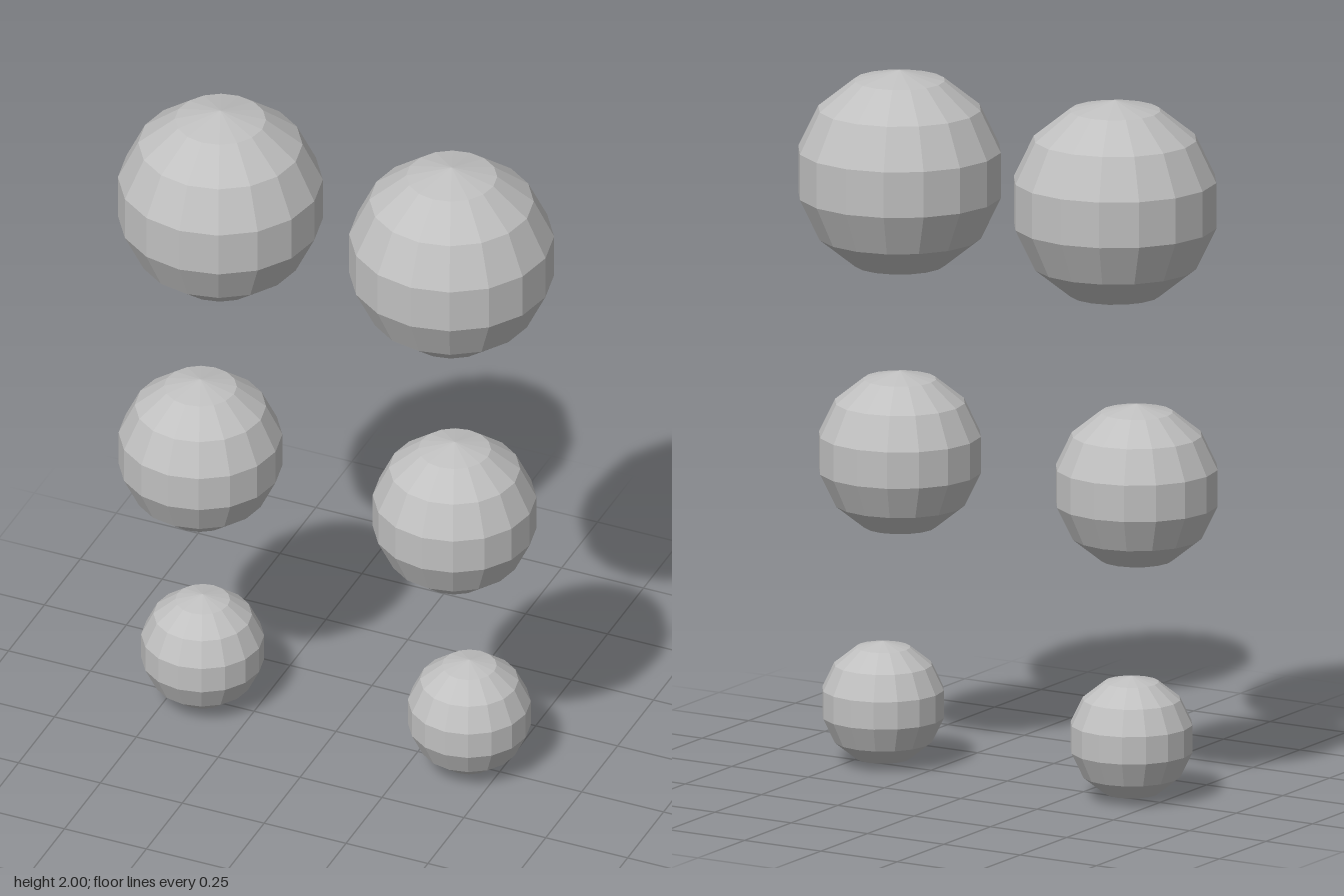
import * as THREE from 'three';

export function createModel() {
  const model = new THREE.Group();
  model.name = 'spherePairs';

  const grey = new THREE.MeshStandardMaterial({ color: 0xc0c0c0 });
  grey.name = 'light grey';

  // Three mirrored pairs of faceted balls, shrinking downwards
  const pairs = [
    { name: 'upperBall', r: 0.294, x: 0.353, y: 1.706, z: 0 },
    { name: 'middleBall', r: 0.235, x: 0.388, y: 0.885, z: 0.059 },
    { name: 'lowerBall', r: 0.1765, x: 0.407, y: 0.1765, z: 0 },
  ];

  for (const { name, r, x, y, z } of pairs) {
    // Unshared corners give each facet its own flat normal
    const ball = new THREE.SphereGeometry(r, 16, 7).toNonIndexed();
    ball.computeVertexNormals();
    for (const [side, sign] of [['Left', 1], ['Right', -1]]) {
      const mesh = new THREE.Mesh(ball, grey);
      mesh.name = name + side;
      mesh.position.set(sign * x, y, z);
      model.add(mesh);
    }
  }
  return model;
}
